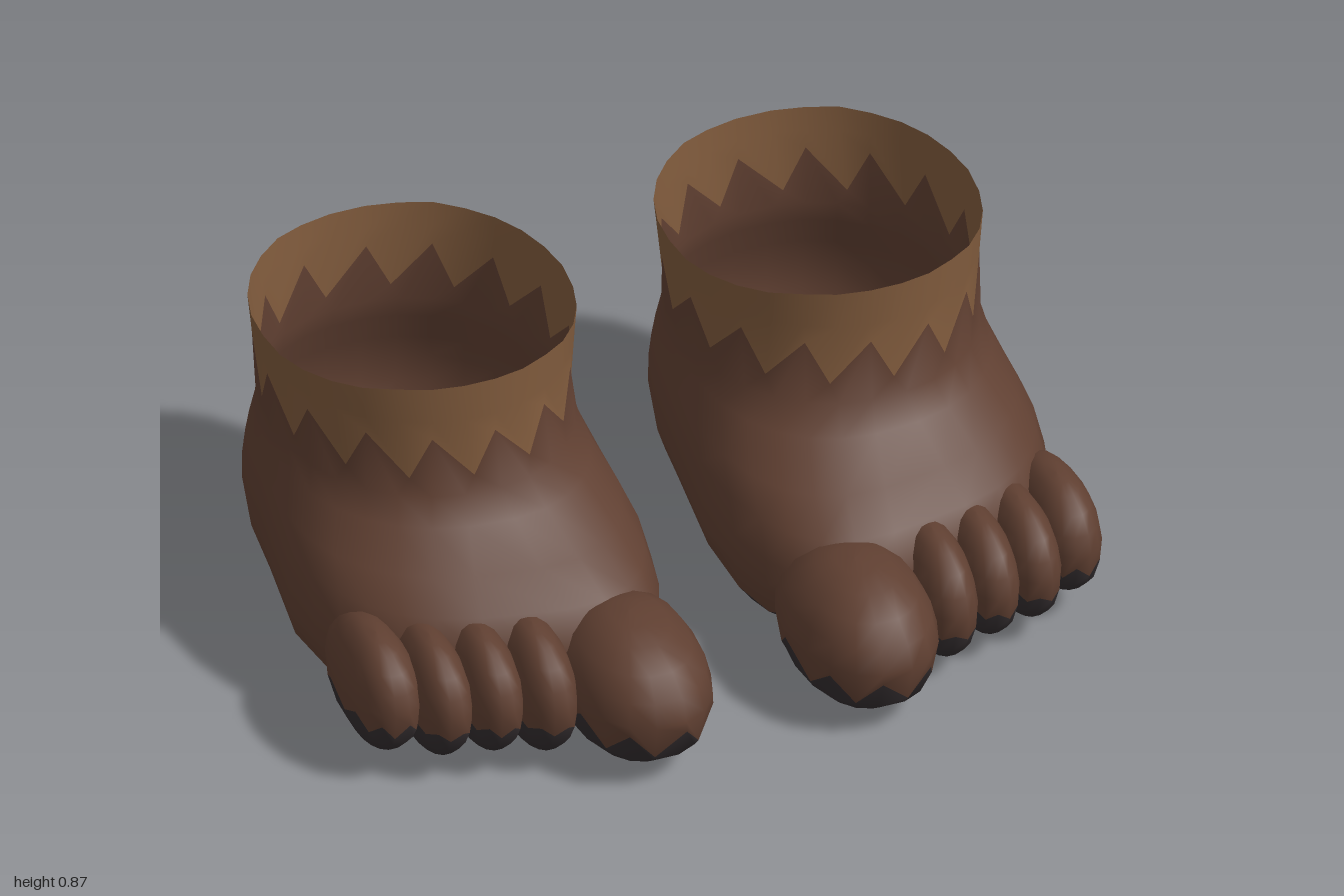
import * as THREE from 'three';

const skin = new THREE.MeshStandardMaterial({ color: 0x5f3f31, side: THREE.DoubleSide });
skin.name = 'brownSkin';
const cuff = new THREE.MeshStandardMaterial({ color: 0x7f5a3c, side: THREE.DoubleSide });
cuff.name = 'tanCuff';
const sole = new THREE.MeshStandardMaterial({ color: 0x332d2f, side: THREE.DoubleSide });
sole.name = 'darkSole';
const MATS = [sole, skin, cuff];

const spow = (v, p) => Math.sign(v) * Math.abs(v) ** p;

// Linear interpolation of table rows keyed by their first column
function sample(table, k) {
  if (k <= table[0][0]) return table[0];
  for (let i = 1; i < table.length; i++) {
    const a = table[i - 1], b = table[i];
    if (k <= b[0]) {
      const t = (k - a[0]) / (b[0] - a[0]);
      return a.map((v, j) => v + (b[j] - v) * t);
    }
  }
  return table[table.length - 1];
}

// Smooth surface through closed rings, bottom to top; each strip has a material index
function loft(rings, strips, side) {
  const n = rings[0].length, pos = [], idx = [];
  const g = new THREE.BufferGeometry();
  rings.forEach(r => r.forEach(p => pos.push(p[0] * side, p[1], p[2])));
  strips.forEach((mat, k) => {
    g.addGroup(idx.length, n * 6, mat);
    for (let i = 0; i < n; i++) {
      const a = k * n + i, b = k * n + (i + 1) % n, c = a + n, d = b + n;
      if (side > 0) idx.push(a, c, b, b, c, d);
      else idx.push(a, b, c, b, d, c);
    }
  });
  g.setAttribute('position', new THREE.Float32BufferAttribute(pos, 3));
  g.setIndex(idx);
  g.computeVertexNormals();
  return g;
}

// Foot outline by height: y, front z, back z, rear half width, front half width, roundness
const PROFILE = [
  [0.20, 0.46, -0.76, 0.40, 0.455, 0.60],
  [0.28, 0.46, -0.79, 0.41, 0.455, 0.60],
  [0.36, 0.40, -0.785, 0.41, 0.447, 0.65],
  [0.42, 0.30, -0.775, 0.40, 0.43, 0.72],
  [0.50, 0.19, -0.75, 0.385, 0.40, 0.85],
  [0.57, 0.125, -0.735, 0.38, 0.385, 0.95],
  [0.62, 0.115, -0.735, 0.38, 0.38, 1],
  [0.84, 0.11, -0.76, 0.40, 0.40, 1],
];
// Underside height by z
const UNDERSIDE = [
  [-0.8, 0.13], [-0.6, 0.09], [-0.3, 0.095], [0, 0.05], [0.12, 0.015], [0.28, 0.04], [0.5, 0.08],
];
const CX = 0.543, CZ = -0.33, N = 30;

function outline(y, a) {
  const [, zf, zb, hb, hf, e] = sample(PROFILE, y);
  const c = Math.cos(a), s = Math.sin(a);
  const z = s > 0 ? CZ + (zf - CZ) * s ** e : CZ + (CZ - zb) * spow(s, 0.95);
  const w = hb + (hf - hb) * THREE.MathUtils.smoothstep(z, CZ, 0.02);
  const x = w * spow(c, s > 0 ? e : 0.95);
  // the front edge slants back toward the little toe
  const slant = s > 0 ? -x * s * (1 - e) * 0.6 : 0;
  return [CX + x, y, z + slant];
}

const ring = fn => Array.from({ length: N }, (_, i) => fn(i / N * Math.PI * 2, i));

function footBody(side) {
  // sole rings shrink toward the middle: scale, blend to underside height
  const under = [[0, 1], [0.3, 1], [0.6, 1], [0.84, 0.9], [0.96, 0.5]].map(([k, t], r) => ring((a, i) => {
    const p = outline(0.2, a);
    const x = CX + (p[0] - CX) * k, z = -0.15 + (p[2] + 0.15) * k;
    const jag = r === 4 ? (i % 3 - 1) * 0.012 : 0;
    return [x, 0.2 + (sample(UNDERSIDE, z)[1] - 0.2) * t + jag, z];
  }));
  const walls = [0.2, 0.28, 0.36, 0.42, 0.5, 0.56].map(y => ring(a => outline(y, a)));
  // jagged lower edge of the cuff
  const teeth = ring((a, i) => outline(i % 2 ? 0.605 : 0.72, a + (i % 2 ? 0.06 : 0)));
  const band = ring(a => outline(0.77, a));
  // rim rises a little at the front
  const rim = ring((a, i) => {
    const p = outline(0.84, a), s = Math.max(0, Math.sin(a));
    p[1] = 0.833 + 0.04 * s * s + (i % 5 === 0 ? 0.004 : 0);
    return p;
  });
  const strips = [0, 0, 0, 0, 1, 1, 1, 1, 1, 1, 1, 2, 2];
  return loft([...under, ...walls, teeth, band, rim], strips, side);
}

// Rounded toe with a dark, jagged underside
function toe({ x, tip, rx, bottom, top, front, jag }, side) {
  const n = 18, cy = (top + bottom) / 2, ry = (top - bottom) / 2, cz = tip - front;
  const lats = [-1, -0.96, -0.82, -0.55, null, 0.1, 0.42, 0.7, 0.9, 0.98, 1];
  const rings = lats.map(lat => Array.from({ length: n }, (_, i) => {
    const a = i / n * Math.PI * 2;
    const h = lat === null ? -0.24 + (i % 2 ? jag : -jag) : lat;
    const k = Math.sqrt(Math.max(0, 1 - h * h)) ** 0.85;
    const s = Math.sin(a);
    return [
      x + rx * k * spow(Math.cos(a), 0.88),
      cy + ry * h,
      cz + (s > 0 ? front : 0.24) * k * spow(s, 0.88),
    ];
  }));
  return loft(rings, lats.slice(1).map((_, i) => (i < 4 ? 0 : 1)), side);
}

const TOES = [
  { name: 'bigToe', x: 0.302, tip: 0.78, rx: 0.185, bottom: 0, top: 0.367, front: 0.29, jag: 0.2 },
  { name: 'secondToe', x: 0.535, tip: 0.63, rx: 0.085, bottom: 0.02, top: 0.355, front: 0.2, jag: 0.06 },
  { name: 'thirdToe', x: 0.663, tip: 0.595, rx: 0.08, bottom: 0.035, top: 0.352, front: 0.19, jag: 0.08 },
  { name: 'fourthToe', x: 0.787, tip: 0.565, rx: 0.08, bottom: 0.035, top: 0.35, front: 0.19, jag: 0.06 },
  { name: 'littleToe', x: 0.91, tip: 0.508, rx: 0.09, bottom: 0.05, top: 0.358, front: 0.18, jag: 0.12 },
];

export function createModel() {
  const model = new THREE.Group();
  model.name = 'pairOfFeet';
  for (const side of [1, -1]) {
    const foot = new THREE.Group();
    foot.name = side > 0 ? 'leftFoot' : 'rightFoot';
    const add = (name, geometry) => {
      const mesh = new THREE.Mesh(geometry, MATS);
      mesh.name = name;
      foot.add(mesh);
    };
    add('footBody', footBody(side));
    TOES.forEach(t => add(t.name, toe(t, side)));
    model.add(foot);
  }
  return model;
}
